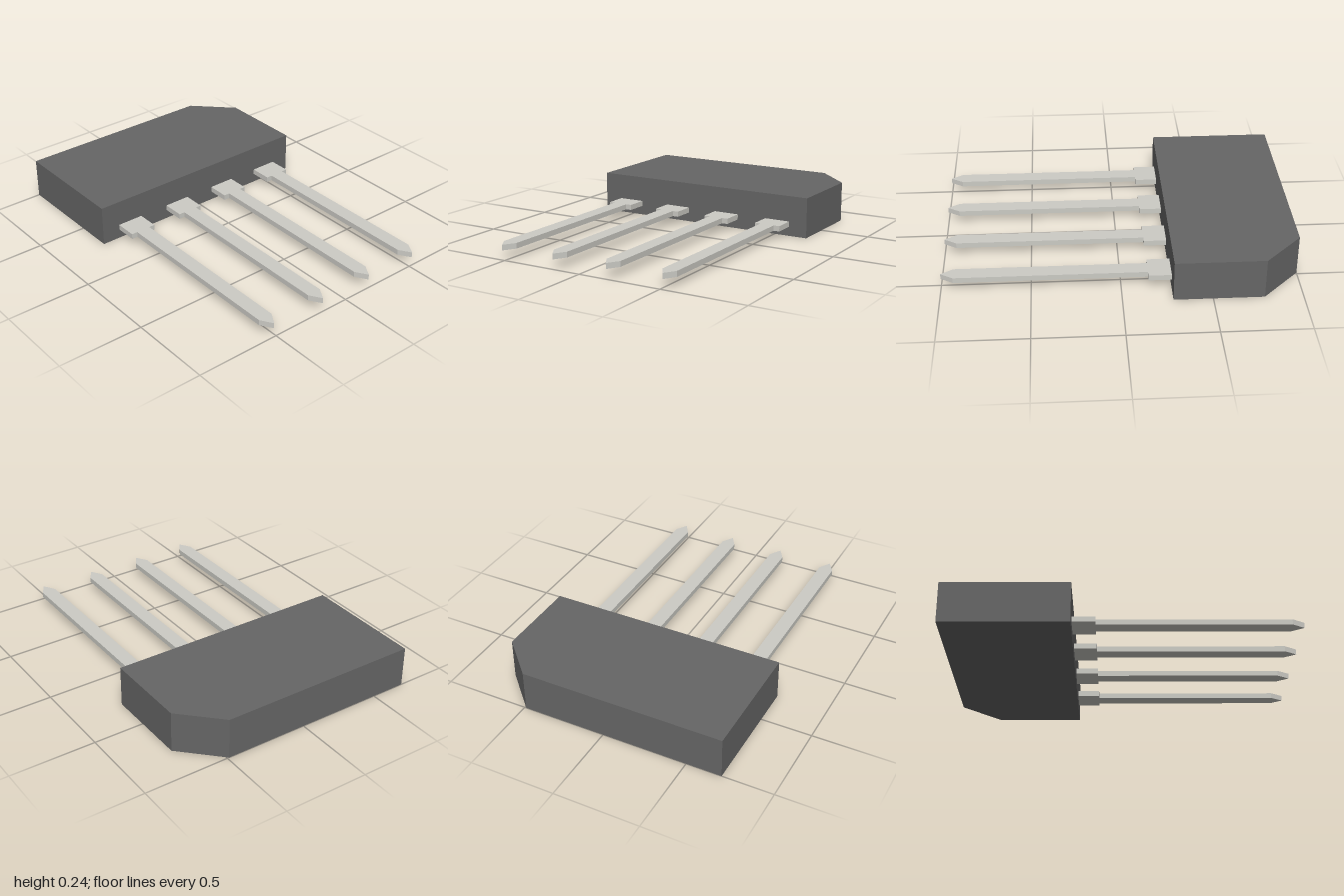
import * as THREE from 'three';

// Extrudes an outline of [x, z] points upward from y0 to y1
function slab(name, outline, y0, y1, material) {
  const shape = new THREE.Shape(outline.map(([x, z]) => new THREE.Vector2(x, z)));
  const geometry = new THREE.ExtrudeGeometry(shape, { depth: y1 - y0, bevelEnabled: false });
  geometry.rotateX(Math.PI / 2).translate(0, y1, 0);
  const mesh = new THREE.Mesh(geometry, material);
  mesh.name = name;
  return mesh;
}

export function createModel() {
  const model = new THREE.Group();
  model.name = 'fourPinPackage';
  const plastic = new THREE.MeshStandardMaterial({ color: 0x666666, flatShading: true });
  const metal = new THREE.MeshStandardMaterial({ color: 0xcccbc5, flatShading: true });

  // Flat body with one chamfered back corner
  const body = [[-0.705, -0.28], [-0.705, -1], [0.49, -1], [0.705, -0.785], [0.705, -0.28]];
  model.add(slab('body', body, 0, 0.24, plastic));

  // Pin: wide collar, narrow shank and pointed tip
  const half = [[0.079, -0.285], [0.079, -0.15], [0.043, -0.15], [0.043, 0.93]];
  const mirrored = half.map(([x, z]) => [-x, z]).reverse();
  const pinOutline = [...half, [0, 1], ...mirrored];
  for (let i = 0; i < 4; i++) {
    const pin = slab(`pin${i + 1}`, pinOutline, 0.055, 0.087, metal);
    pin.position.x = (i - 1.5) * 0.343;
    model.add(pin);
  }
  return model;
}
